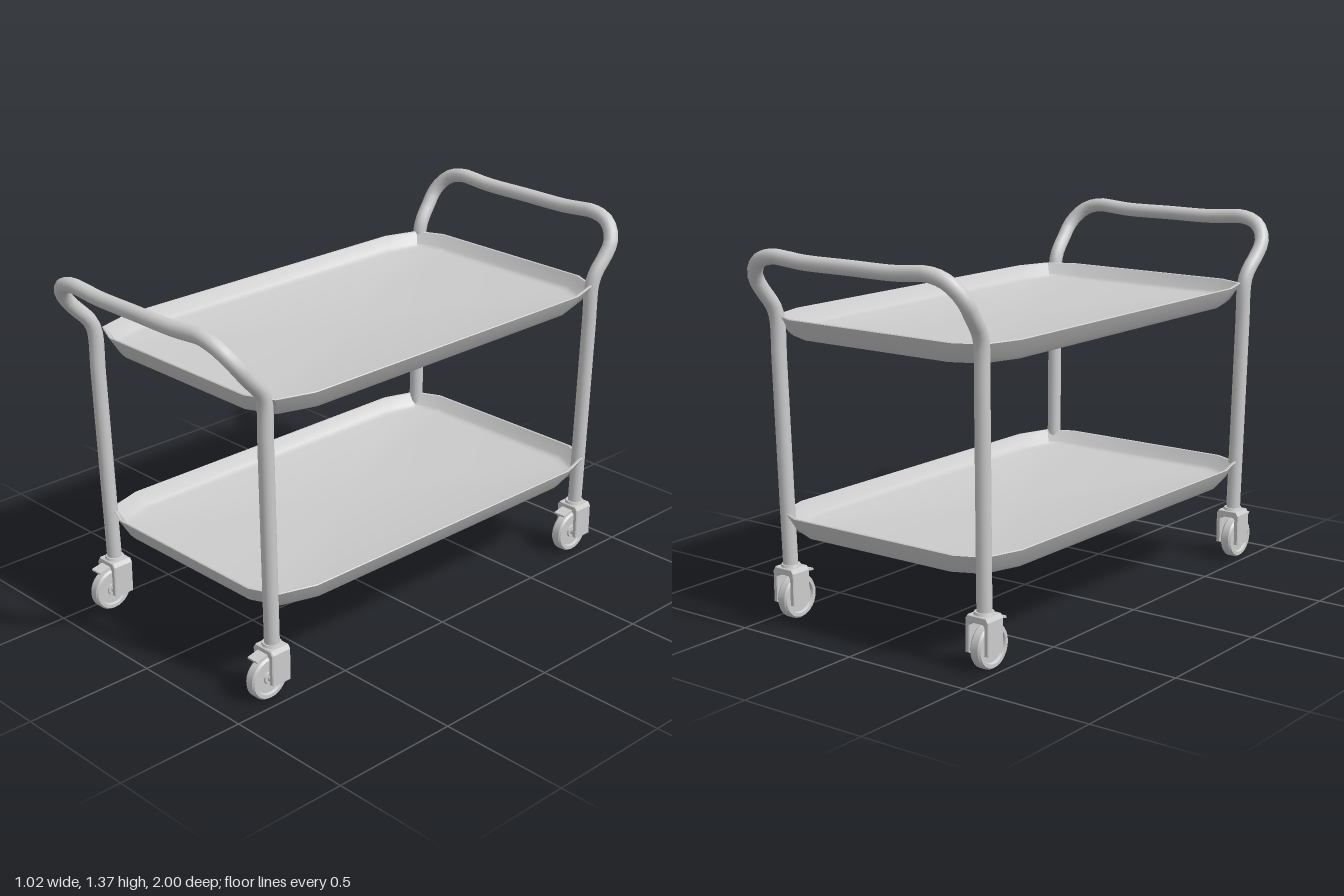
import * as THREE from 'three';
import { toCreasedNormals } from 'three/addons/utils/BufferGeometryUtils.js';

const material = new THREE.MeshStandardMaterial({ color: 0xcccccc });
const doubleSided = new THREE.MeshStandardMaterial({ color: 0xcccccc, side: THREE.DoubleSide });
const CENTRE_X = -0.006;

function add(parent, name, geometry, x = 0, y = 0, z = 0, mat = material) {
  const mesh = new THREE.Mesh(geometry, mat);
  mesh.name = name;
  mesh.position.set(x, y, z);
  parent.add(mesh);
  return mesh;
}

// Tray: octagon-like rings lofted from the underside, over the rim, to the floor
function trayGeometry() {
  const quarter = [[0.508, 0.665], [0.465, 0.805], [0.36, 0.853]];
  const back = quarter.slice().reverse();
  const outline = [
    ...quarter,
    ...back.map(([x, z]) => [-x, z]),
    ...quarter.map(([x, z]) => [-x, -z]),
    ...back.map(([x, z]) => [x, -z]),
  ];
  // inset from the rim, height
  const rings = [[0.04, 0], [0.029, 0.014], [0, 0.073], [0.003, 0.076], [0.009, 0.074],
    [0.03, 0.032], [0.038, 0.023], [0.055, 0.018]];
  const n = outline.length;
  const positions = [];
  const indices = [];
  for (const [inset, y] of rings) {
    for (const [x, z] of outline) {
      positions.push(x - Math.sign(x) * inset, y, z - Math.sign(z) * inset);
    }
  }
  for (let r = 0; r < rings.length - 1; r++) {
    for (let i = 0; i < n; i++) {
      const a = r * n + i, b = r * n + (i + 1) % n;
      indices.push(a, a + n, b, b, a + n, b + n);
    }
  }
  // close the underside and the floor
  const under = positions.length / 3;
  positions.push(0, rings[0][1], 0, 0, rings[rings.length - 1][1], 0);
  const last = (rings.length - 1) * n;
  for (let i = 0; i < n; i++) {
    const j = (i + 1) % n;
    indices.push(under, i, j, under + 1, last + j, last + i);
  }
  const geometry = new THREE.BufferGeometry();
  geometry.setAttribute('position', new THREE.Float32BufferAttribute(positions, 3));
  geometry.setIndex(indices);
  return toCreasedNormals(geometry, 0.6);
}

// One bent tube: two legs joined by a push handle that leans outwards
function frameGeometry(legBottom, legTop, bar) {
  // x, y, and how far the point leans from the leg to the bar
  const bend = [[0.455, 1.11, 0], [0.458, 1.155, 0.12], [0.464, 1.215, 0.47],
    [0.463, 1.26, 0.7], [0.44, 1.302, 0.87], [0.402, 1.332, 0.97], [0.34, 1.347, 1],
    [0.28, 1.344, 1], [0.2, 1.338, 1]];
  const half = [];
  for (let i = 0; i < 6; i++) {
    const t = i / 6;
    half.push([0.443 + 0.012 * t, 0.18 + 0.93 * t, legBottom + (legTop - legBottom) * t]);
  }
  for (const [x, y, t] of bend) half.push([x, y, legTop + (bar - legTop) * t]);
  const points = [
    ...half.map(([x, y, z]) => new THREE.Vector3(-x, y, z)),
    new THREE.Vector3(0, 1.338, bar),
    ...half.reverse().map(([x, y, z]) => new THREE.Vector3(x, y, z)),
  ];
  const curve = new THREE.CatmullRomCurve3(points, false, 'centripetal');
  return new THREE.TubeGeometry(curve, 110, 0.0275, 14);
}

// Upside-down U seen from the front, extruded along z
function forkGeometry() {
  const corners = [[-0.05, 0.065], [-0.05, 0.185], [-0.04, 0.2], [0.04, 0.2], [0.05, 0.185],
    [0.05, 0.065], [0.031, 0.065], [0.031, 0.165], [0.024, 0.174], [-0.024, 0.174],
    [-0.031, 0.165], [-0.031, 0.065]];
  const shape = new THREE.Shape(corners.map(([x, y]) => new THREE.Vector2(x, y)));
  const geometry = new THREE.ExtrudeGeometry(shape, {
    depth: 0.076, bevelEnabled: true, bevelThickness: 0.004, bevelSize: 0.003,
    bevelOffset: -0.003, bevelSegments: 1,
  });
  geometry.translate(0, 0, -0.038);
  return geometry;
}

// Tyre with a recessed hub, turned about the x axis
function wheelGeometry() {
  const profile = [[0, -0.018], [0.022, -0.018], [0.024, -0.012], [0.058, -0.012], [0.062, -0.022],
    [0.075, -0.022], [0.081, -0.014], [0.081, 0.014], [0.075, 0.022], [0.062, 0.022],
    [0.058, 0.012], [0.024, 0.012], [0.022, 0.018], [0, 0.018]];
  const geometry = new THREE.LatheGeometry(profile.map(([r, y]) => new THREE.Vector2(r, y)), 28);
  geometry.rotateZ(Math.PI / 2);
  geometry.deleteAttribute('normal');
  geometry.deleteAttribute('uv');
  return toCreasedNormals(geometry, 0.5);
}

function createCaster() {
  const caster = new THREE.Group();
  caster.name = 'caster';
  add(caster, 'fork', forkGeometry());
  add(caster, 'stemCollar', new THREE.CylinderGeometry(0.034, 0.038, 0.012, 16), 0, 0.203, 0);
  add(caster, 'wheel', wheelGeometry(), 0, 0.081, 0.026);
  const axle = add(caster, 'axle', new THREE.CylinderGeometry(0.011, 0.011, 0.09, 12), 0, 0.081, 0.026);
  axle.rotation.z = Math.PI / 2;
  const pedal = add(caster, 'brakePedal', new THREE.BoxGeometry(0.05, 0.008, 0.06), 0, 0.175, 0.06);
  pedal.rotation.x = 0.2;
  return caster;
}

export function createModel() {
  const cart = new THREE.Group();
  cart.name = 'trolley';

  // Two identical trays
  const tray = trayGeometry();
  add(cart, 'upperTray', tray, 0, 1.04, -0.0275, doubleSided);
  add(cart, 'lowerTray', tray, 0, 0.325, -0.0275, doubleSided);

  // Leg and handle frames at both ends
  const ends = [
    { name: 'front', bottom: 0.788, top: 0.812, bar: 0.9725 },
    { name: 'back', bottom: -0.823, top: -0.845, bar: -0.9725 },
  ];
  for (const { name, bottom, top, bar } of ends) {
    add(cart, name + 'LegsAndHandle', frameGeometry(bottom, top, bar), CENTRE_X, 0, 0);
    // A caster under each leg, all trailing the same way
    for (const side of [-1, 1]) {
      const caster = createCaster();
      caster.name = name + (side > 0 ? 'Left' : 'Right') + 'Caster';
      caster.position.set(CENTRE_X + side * 0.442, 0, bottom);
      cart.add(caster);
    }
  }
  return cart;
}
